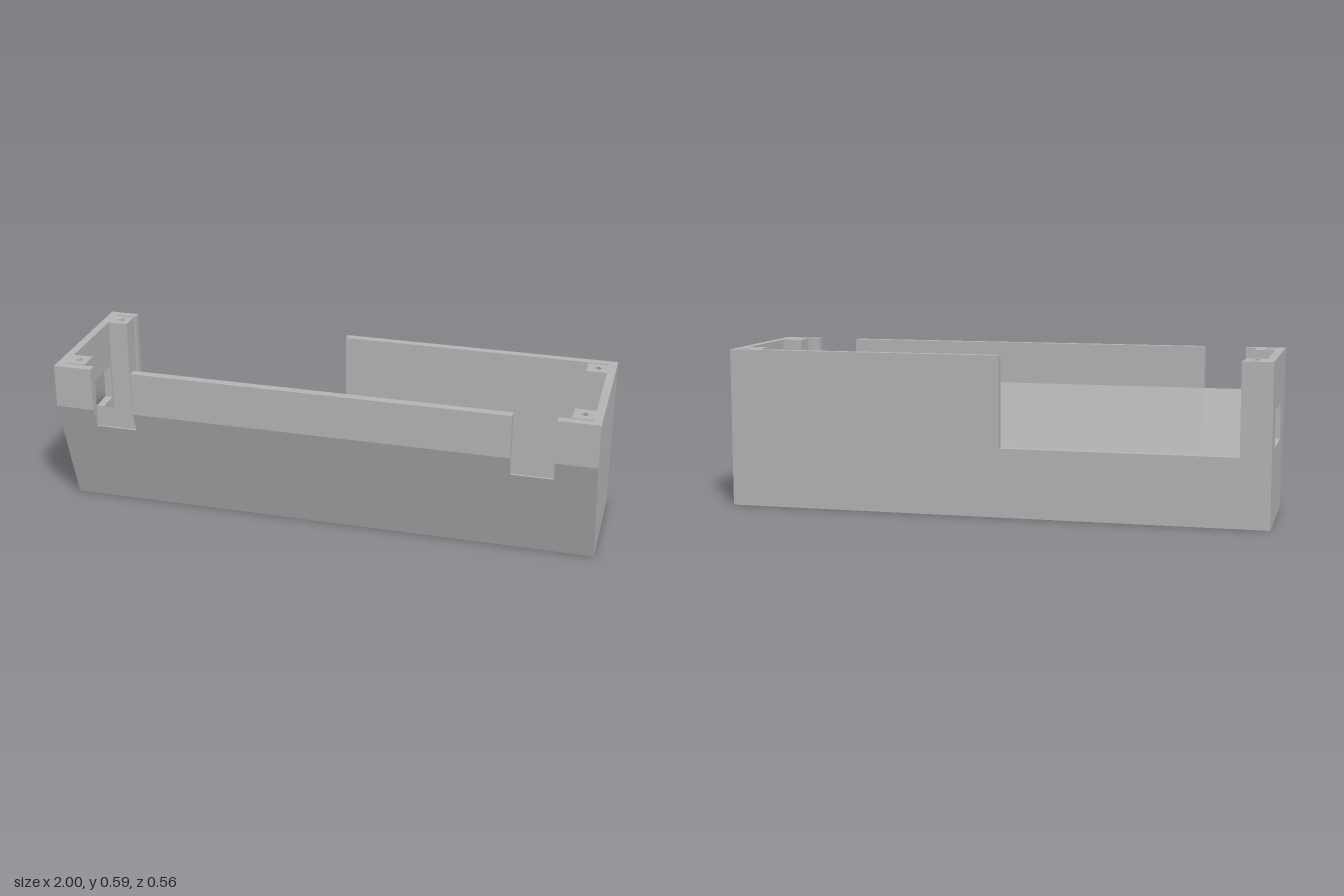
import * as THREE from 'three';

const H = 0.587, WALL = 0.03, BACK = -0.282, FRONT = 0.282;

function toShape(points) {
  return new THREE.Shape(points.map(([a, b]) => new THREE.Vector2(a, b)));
}

// Extrudes a (z, y) section along x, from x0 to x1
function alongX(shape, x0, x1) {
  const g = new THREE.ExtrudeGeometry(shape, { depth: x1 - x0, bevelEnabled: false });
  return g.rotateY(-Math.PI / 2).translate(x1, 0, 0);
}

export function createModel() {
  const model = new THREE.Group();
  model.name = 'enclosure';
  const grey = new THREE.MeshStandardMaterial({ color: 0xb4b4b4 });
  grey.name = 'grey plastic';

  const add = (name, geometry, parent = model) => {
    const mesh = new THREE.Mesh(geometry, grey);
    mesh.name = name;
    parent.add(mesh);
  };

  // Floor
  const floorFront = 0.12;
  add('floor', new THREE.BoxGeometry(2 - 2 * WALL, WALL, floorFront - BACK)
    .translate(0, WALL / 2, (floorFront + BACK) / 2));

  // End walls; the right one has a rectangular port
  const endProfile = [[BACK, 0], [0.145, 0], [FRONT, 0.425], [FRONT, H], [BACK, H]];
  add('leftEndWall', alongX(toShape(endProfile), 1 - WALL, 1));
  const portWall = toShape(endProfile);
  portWall.holes.push(toShape([[-0.16, 0.27], [-0.16, 0.405], [0.08, 0.405], [0.08, 0.27]]));
  add('rightEndWall', alongX(portWall, -1, -1 + WALL));

  // Sloped front wall, with a notch near each end
  const full = [[0.12, 0], [0.145, 0], [FRONT, 0.425], [FRONT, H],
    [0.25, H], [0.25, 0.43], [0.12, WALL]];
  const notched = [[0.12, 0], [0.145, 0], [0.258, 0.35], [0.25, 0.35],
    [0.25, 0.43], [0.12, WALL]];
  add('frontWall', alongX(toShape(full), -0.7, 0.695));
  for (const [side, x0, x1, x2] of [['right', -0.97, -0.855, -0.7], ['left', 0.695, 0.85, 0.97]]) {
    const isLeft = side === 'left';
    add(side + 'FrontCorner', alongX(toShape(full), isLeft ? x1 : x0, isLeft ? x2 : x1));
    add(side + 'FrontNotch', alongX(toShape(notched), isLeft ? x0 : x1, isLeft ? x1 : x2));
  }

  // Back wall with a long low opening
  const back = toShape([[-0.97, WALL], [0.97, WALL], [0.97, H], [-0.03, H],
    [-0.03, 0.252], [-0.89, 0.252], [-0.89, H], [-0.97, H]]);
  add('backWall', new THREE.ExtrudeGeometry(back, { depth: WALL, bevelEnabled: false })
    .translate(0, 0, BACK));

  // Corner posts: drilled top block above a solid lower part, with a thin slot by the wall
  const blockBase = 0.43, r = 0.016;
  const lowerBack = [[-0.245, WALL], [-0.17, WALL], [-0.17, blockBase], [-0.245, blockBase]];
  const lowerFront = [[0.165, 0.15], [0.243, 0.4], [0.243, blockBase], [0.165, blockBase]];
  for (const s of [-1, 1]) {
    for (const [end, z0, z1, lower] of [['back', -0.245, -0.17, lowerBack], ['front', 0.165, 0.243, lowerFront]]) {
      const post = new THREE.Group();
      post.name = end + (s > 0 ? 'Left' : 'Right') + 'Post';
      const x0 = s > 0 ? 0.895 : -0.97, x1 = s > 0 ? 0.97 : -0.895;
      const cx = 0.932 * s, cz = (z0 + z1) / 2;
      const top = toShape([[x0, -z1], [x1, -z1], [x1, -z0], [x0, -z0]]);
      top.holes.push(toShape([[cx + r, -cz], [cx, -cz - r], [cx - r, -cz], [cx, -cz + r]]));
      add('screwBlock', new THREE.ExtrudeGeometry(top, { depth: H - blockBase, bevelEnabled: false })
        .rotateX(-Math.PI / 2).translate(0, blockBase, 0), post);
      add('postBody', alongX(toShape(lower), x0, x1), post);
      model.add(post);
    }
  }

  return model;
}
